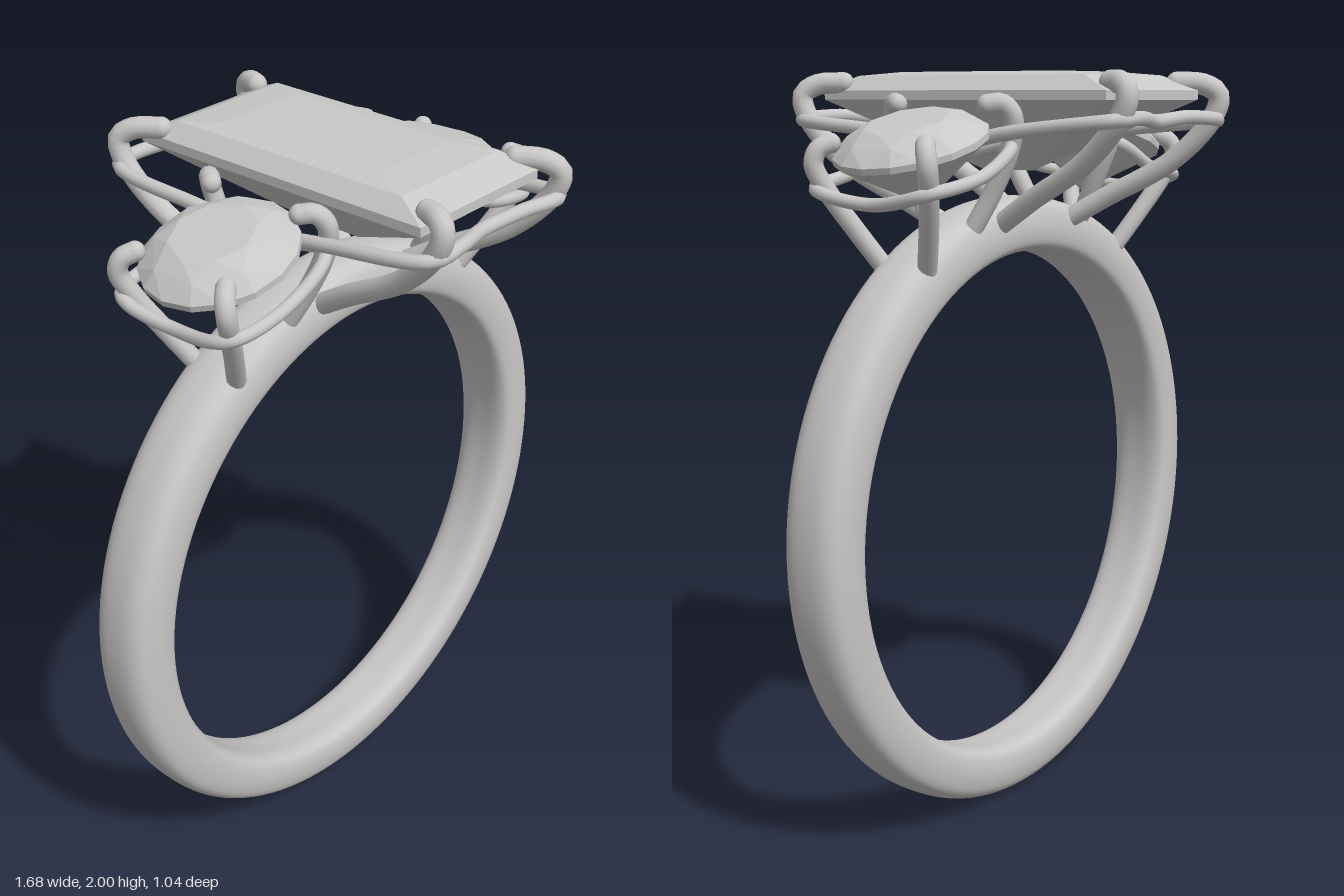
import * as THREE from 'three';
import { ConvexGeometry } from 'three/addons/geometries/ConvexGeometry.js';

const metal = new THREE.MeshStandardMaterial({ color: 0xc8c7c5 });
metal.name = 'polished metal';
const gem = new THREE.MeshStandardMaterial({ color: 0xc8c8c7 });
gem.name = 'clear gem';

const V = (p) => new THREE.Vector3(...p);

function add(parent, name, geometry, material) {
  const mesh = new THREE.Mesh(geometry, material);
  mesh.name = name;
  parent.add(mesh);
  return mesh;
}

// Round wire through the points, with a ball at each end unless it is a closed loop
function wire(parent, name, points, radius, closed = false) {
  const group = new THREE.Group();
  group.name = name;
  const path = new THREE.CatmullRomCurve3(points.map(V), closed);
  add(group, name + 'Wire', new THREE.TubeGeometry(path, closed ? 96 : 40, radius, 12, closed), metal);
  if (!closed) {
    for (const p of [points[0], points[points.length - 1]]) {
      add(group, name + 'End', new THREE.SphereGeometry(radius, 14, 10), metal).position.set(...p);
    }
  }
  parent.add(group);
}

// Band: rounded section spun around z, slightly wider at the top
function band() {
  const half = [[0.694, 0.055], [0.708, 0.082], [0.74, 0.091], [0.78, 0.089], [0.815, 0.076], [0.833, 0.048]];
  const section = [
    [0.692, 0, 0],
    ...half.map(([r, w]) => [r, -w, 0]),
    [0.838, 0, 0],
    ...half.slice().reverse().map(([r, w]) => [r, w, 0]),
  ];
  const curve = new THREE.CatmullRomCurve3(section.map(V), true);
  const profile = curve.getPoints(56).map((p) => new THREE.Vector2(p.x, p.y));
  const g = new THREE.LatheGeometry(profile, 128);
  g.rotateX(Math.PI / 2);
  g.translate(0, 0.838, 0);
  const pos = g.attributes.position;
  for (let i = 0; i < pos.count; i++) {
    pos.setZ(i, pos.getZ(i) * (0.91 + 0.1 * pos.getY(i)));
  }
  return g;
}

// Step-cut stone: rectangles stacked by half width, height, half depth
function stepCut() {
  const steps = [[0.135, 2.0, 0.25], [0.185, 1.99, 0.36], [0.225, 1.952, 0.447], [0.225, 1.928, 0.447], [0.003, 1.745, 0.08]];
  const pts = [];
  for (const [x, y, z] of steps) {
    for (const sx of [-1, 1]) for (const sz of [-1, 1]) pts.push(V([sx * x, y, sz * z]));
  }
  return new ConvexGeometry(pts);
}

// Round brilliant stone: rings of facet corners above a point
function brilliant() {
  const rings = [[8, 0.11, 0.062, 0], [8, 0.16, 0.041, 0.5], [16, 0.198, 0.008, 0], [16, 0.198, -0.008, 0]];
  const pts = [V([0, -0.155, 0])];
  for (const [n, r, y, turn] of rings) {
    for (let i = 0; i < n; i++) {
      const a = ((i + turn) / n) * Math.PI * 2;
      pts.push(V([r * Math.cos(a), y, r * Math.sin(a)]));
    }
  }
  return new ConvexGeometry(pts);
}

// Side setting on the +x shoulder
function sideSetting() {
  const group = new THREE.Group();
  group.name = 'sideSetting';
  const tilted = new THREE.Group();
  tilted.name = 'sideStoneAndRail';
  tilted.position.set(0.41, 1.82, 0);
  tilted.rotation.z = -0.31;
  group.add(tilted);
  add(tilted, 'sideStone', brilliant(), gem);
  wire(tilted, 'sideRail', [
    [0.18, -0.055, 0.18], [0, -0.075, 0.205], [-0.16, -0.055, 0.18], [-0.165, -0.08, 0],
    [-0.16, -0.055, -0.18], [0, -0.075, -0.205], [0.18, -0.055, -0.18], [0.19, -0.085, 0],
  ], 0.017, true);
  for (const s of [-1, 1]) {
    wire(group, 'outerSideProng', [
      [0.44, 1.52, 0.07 * s], [0.49, 1.61, 0.115 * s], [0.545, 1.71, 0.16 * s],
      [0.572, 1.775, 0.178 * s], [0.565, 1.81, 0.168 * s], [0.54, 1.825, 0.148 * s],
    ], 0.025);
    wire(group, 'innerSideProng', [
      [0.25, 1.6, 0.065 * s], [0.235, 1.7, 0.12 * s], [0.232, 1.81, 0.172 * s],
      [0.245, 1.89, 0.19 * s], [0.265, 1.92, 0.172 * s], [0.288, 1.918, 0.142 * s],
    ], 0.025);
  }
  return group;
}

// Half of the centre setting; the other half is this turned about y
function centreProngs() {
  const group = new THREE.Group();
  group.name = 'centreProngs';
  wire(group, 'wideProng', [
    [0.18, 1.6, 0.06], [0.212, 1.67, 0.18], [0.25, 1.77, 0.36], [0.272, 1.88, 0.465],
    [0.273, 1.94, 0.482], [0.25, 1.967, 0.45], [0.212, 1.972, 0.39],
  ], 0.028);
  wire(group, 'narrowProng', [
    [-0.14, 1.6, 0.06], [-0.16, 1.68, 0.19], [-0.183, 1.78, 0.365], [-0.2, 1.89, 0.475],
    [-0.2, 1.945, 0.492], [-0.192, 1.97, 0.47], [-0.178, 1.972, 0.43],
  ], 0.028);
  return group;
}

export function createModel() {
  const model = new THREE.Group();
  model.name = 'threeStoneRing';
  add(model, 'band', band(), metal);
  add(model, 'centreStone', stepCut(), gem);

  for (const turn of [0, Math.PI]) {
    for (const part of [sideSetting(), centreProngs()]) {
      part.rotation.y = turn;
      model.add(part);
    }
  }

  // Wavy rail joining the four centre prongs
  const halfRail = [
    [0.285, 1.875, 0.475], [0.12, 1.885, 0.475], [0, 1.875, 0.455], [-0.12, 1.885, 0.485],
    [-0.225, 1.88, 0.48], [-0.265, 1.85, 0.2], [-0.255, 1.82, 0], [-0.295, 1.85, -0.2],
  ];
  wire(model, 'centreRail', [...halfRail, ...halfRail.map(([x, y, z]) => [-x, y, -z])], 0.018, true);
  return model;
}
